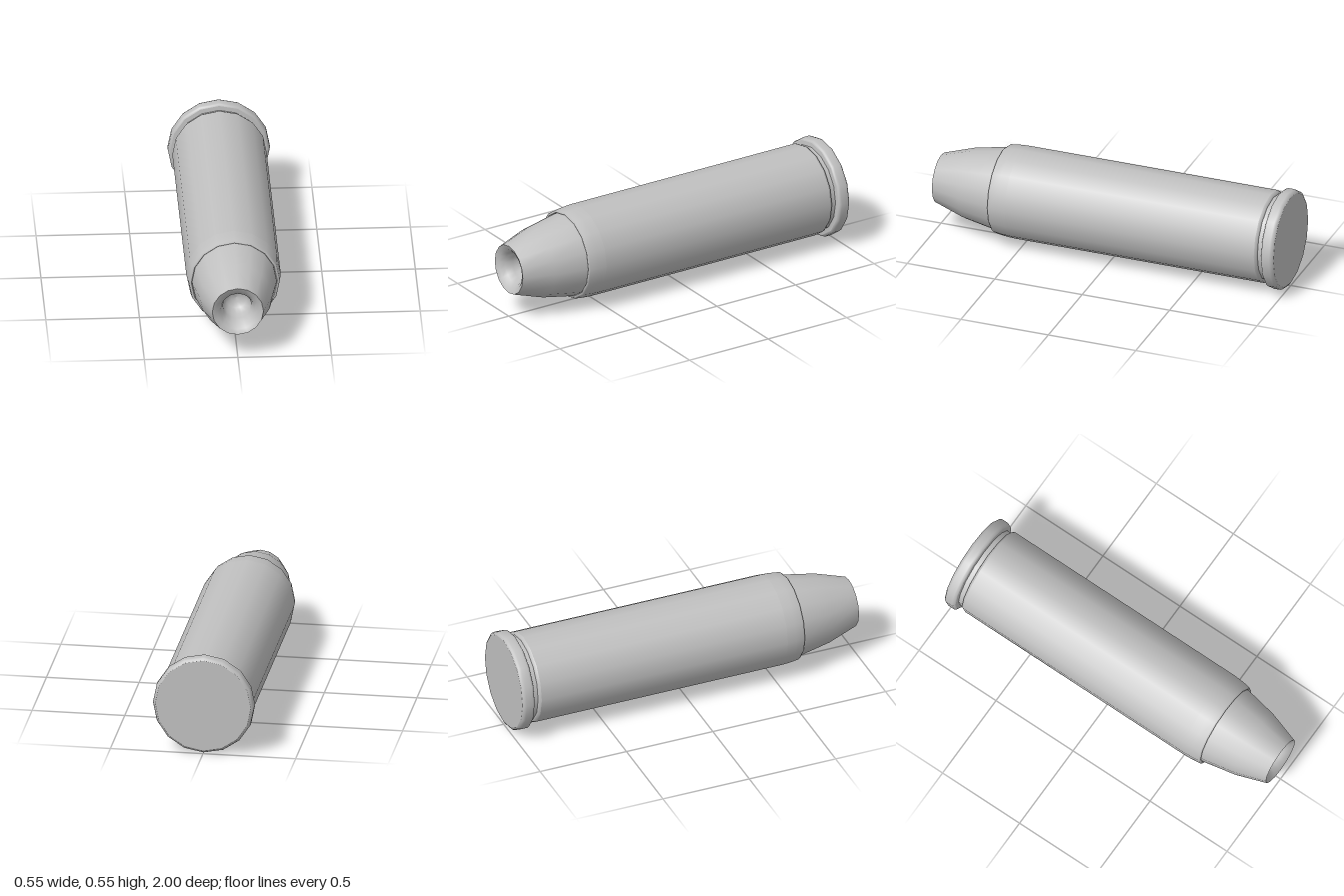
import * as THREE from 'three';

const SIDES = 16;
const AXIS_HEIGHT = 0.274;

export function createModel() {
  const group = new THREE.Group();
  group.name = 'cartridge';
  const metal = new THREE.MeshStandardMaterial({ color: 0xc0c0c0 });
  metal.name = 'grey metal';

  // Revolves [radius, z] points about the long axis; each section is smooth, its ends are creases
  function turned(name, points) {
    const profile = points.map(([r, z]) => new THREE.Vector2(r, z));
    const geometry = new THREE.LatheGeometry(profile, SIDES);
    geometry.rotateX(Math.PI / 2);
    geometry.translate(0, AXIS_HEIGHT, 0);
    const mesh = new THREE.Mesh(geometry, metal);
    mesh.name = name;
    group.add(mesh);
  }

  // Base with its rounded rim
  turned('baseDisc', [[0, -1], [0.257, -1]]);
  turned('rim', [[0.257, -1], [0.268, -0.993], [0.273, -0.98], [0.273, -0.945], [0.268, -0.934], [0.26, -0.93]]);
  turned('rimFrontFace', [[0.26, -0.93], [0.236, -0.927]]);

  // Extractor groove
  turned('groove', [[0.236, -0.927], [0.236, -0.9]]);
  turned('grooveShoulder', [[0.236, -0.9], [0.247, -0.897], [0.252, -0.885]]);

  // Long case with a crimped mouth
  turned('caseBody', [[0.252, -0.885], [0.252, 0.54]]);
  turned('caseCrimp', [[0.252, 0.54], [0.249, 0.59], [0.243, 0.637], [0.237, 0.645], [0.23, 0.643]]);
  turned('caseMouth', [[0.23, 0.643], [0.226, 0.635]]);

  // Tapered nose
  turned('nose', [[0.226, 0.635], [0.225, 0.655], [0.192, 0.83], [0.137, 1]]);

  // Flared hollow in the tip
  turned('noseHollow', [
    [0.137, 1], [0.112, 0.988], [0.09, 0.965], [0.077, 0.925],
    [0.074, 0.88], [0.055, 0.845], [0.028, 0.83], [0, 0.825],
  ]);

  return group;
}
